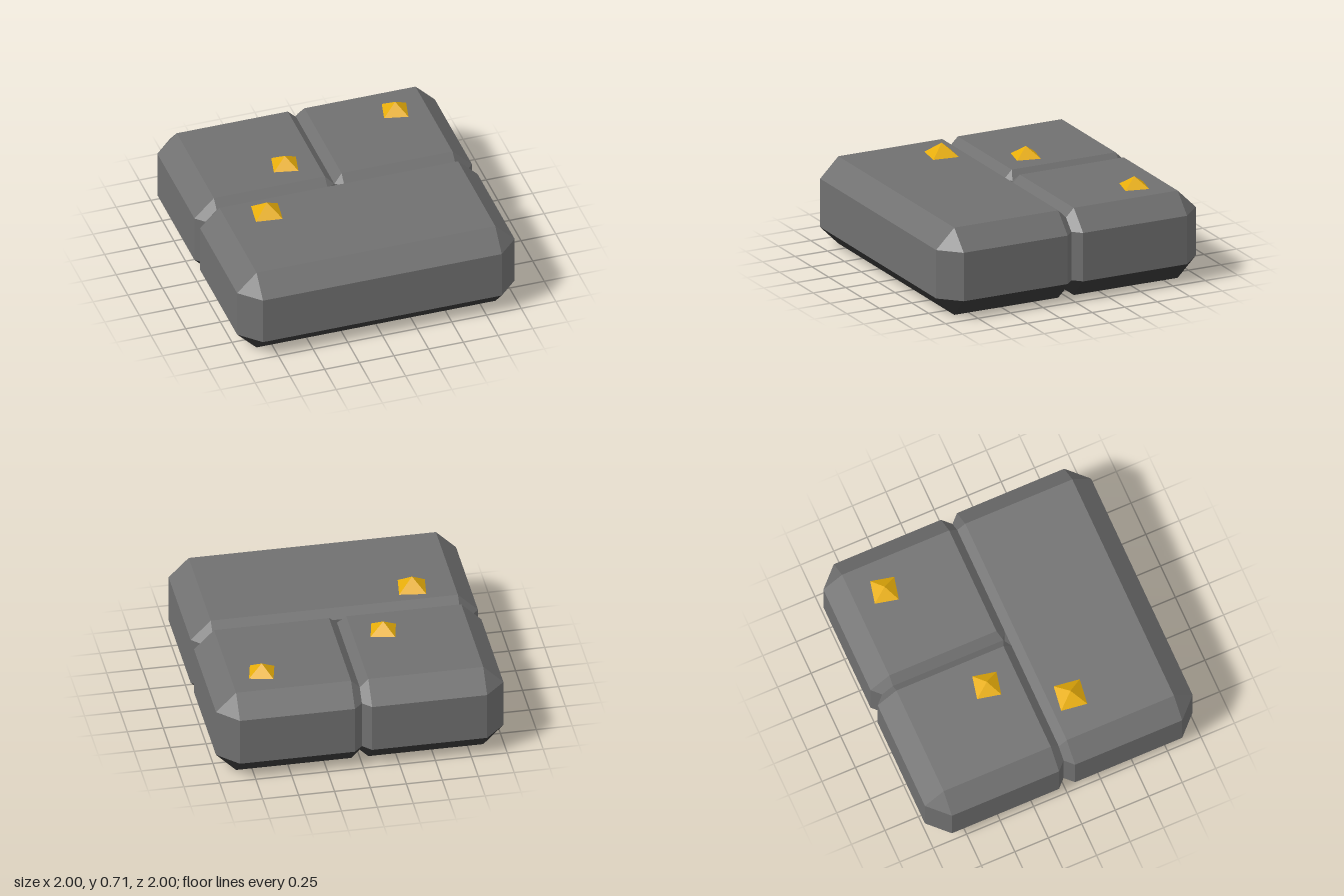
import * as THREE from 'three';
import { ConvexGeometry } from 'three/addons/geometries/ConvexGeometry.js';

const TOP = 0.632, BOTTOM = 0.003;
const WIDE = 0.14, NARROW = 0.06; // bevels: outer rim / along the joints
const CROSSING = 0.035;           // shallower cut where the joints meet

// Bevelled slab; each side that lies on a joint (coordinate 0) gets the narrow bevel.
// Faces that look down use material 1, all others material 0.
function slabGeometry(x0, x1, z0, z1) {
  const points = [];
  for (const [x, sx] of [[x0, 1], [x1, -1]]) {
    for (const [z, sz] of [[z0, 1], [z1, -1]]) {
      const cx = x === 0 ? NARROW : WIDE;
      const cz = z === 0 ? NARROW : WIDE;
      const small = Math.min(cx, cz), big = Math.max(cx, cz);
      const atCrossing = x === 0 && z === 0;
      for (const [y, sy] of [[BOTTOM, 1], [TOP, -1]]) {
        const corner = [
          [cx, 0, cz],                              // flat face
          [0, cx, atCrossing ? CROSSING : cz],      // x side
          [0, big, atCrossing ? CROSSING : small],
          [cx, cz, 0],                              // z side
          [small, big, 0],
        ];
        for (const [dx, dy, dz] of corner) {
          const p = new THREE.Vector3(x + sx * dx, y + sy * dy, z + sz * dz);
          if (!points.some((q) => q.distanceTo(p) < 1e-5)) points.push(p);
        }
      }
    }
  }
  const geometry = new ConvexGeometry(points);
  const normal = geometry.attributes.normal;
  for (let i = 0; i < normal.count; i += 3) {
    geometry.addGroup(i, 3, normal.getY(i) < -0.1 ? 1 : 0);
  }
  return geometry;
}

export function createModel() {
  const model = new THREE.Group();
  model.name = 'studdedStoneTile';

  const stone = new THREE.MeshStandardMaterial({ color: 0x707070 });
  stone.name = 'grey stone';
  const underside = new THREE.MeshStandardMaterial({ color: 0x363636 });
  underside.name = 'dark stone';
  const gold = new THREE.MeshStandardMaterial({ color: 0xe8ae0a });
  gold.name = 'gold';

  // One long slab in front, two square slabs behind
  const slabs = [
    ['frontSlab', -1, 1, 0, 1],
    ['backRightSlab', -1, 0, -1, 0],
    ['backLeftSlab', 0, 1, -1, 0],
  ];
  for (const [name, ...bounds] of slabs) {
    const slab = new THREE.Mesh(slabGeometry(...bounds), [stone, underside]);
    slab.name = name;
    model.add(slab);
  }

  // Four-sided gold studs: x, z, radius, height, turn
  const studs = [
    ['frontStud', -0.57, 0.215, 0.133, 0.086, 0.65],
    ['middleStud', -0.275, -0.28, 0.121, 0.073, 0.57],
    ['backStud', 0.64, -0.64, 0.12, 0.073, 0.56],
  ];
  for (const [name, x, z, radius, height, turn] of studs) {
    const geometry = new THREE.ConeGeometry(radius, height, 4).toNonIndexed();
    geometry.computeVertexNormals();
    const stud = new THREE.Mesh(geometry, gold);
    stud.name = name;
    stud.position.set(x, TOP + height / 2 - 0.001, z);
    stud.rotation.y = turn;
    model.add(stud);
  }

  return model;
}
